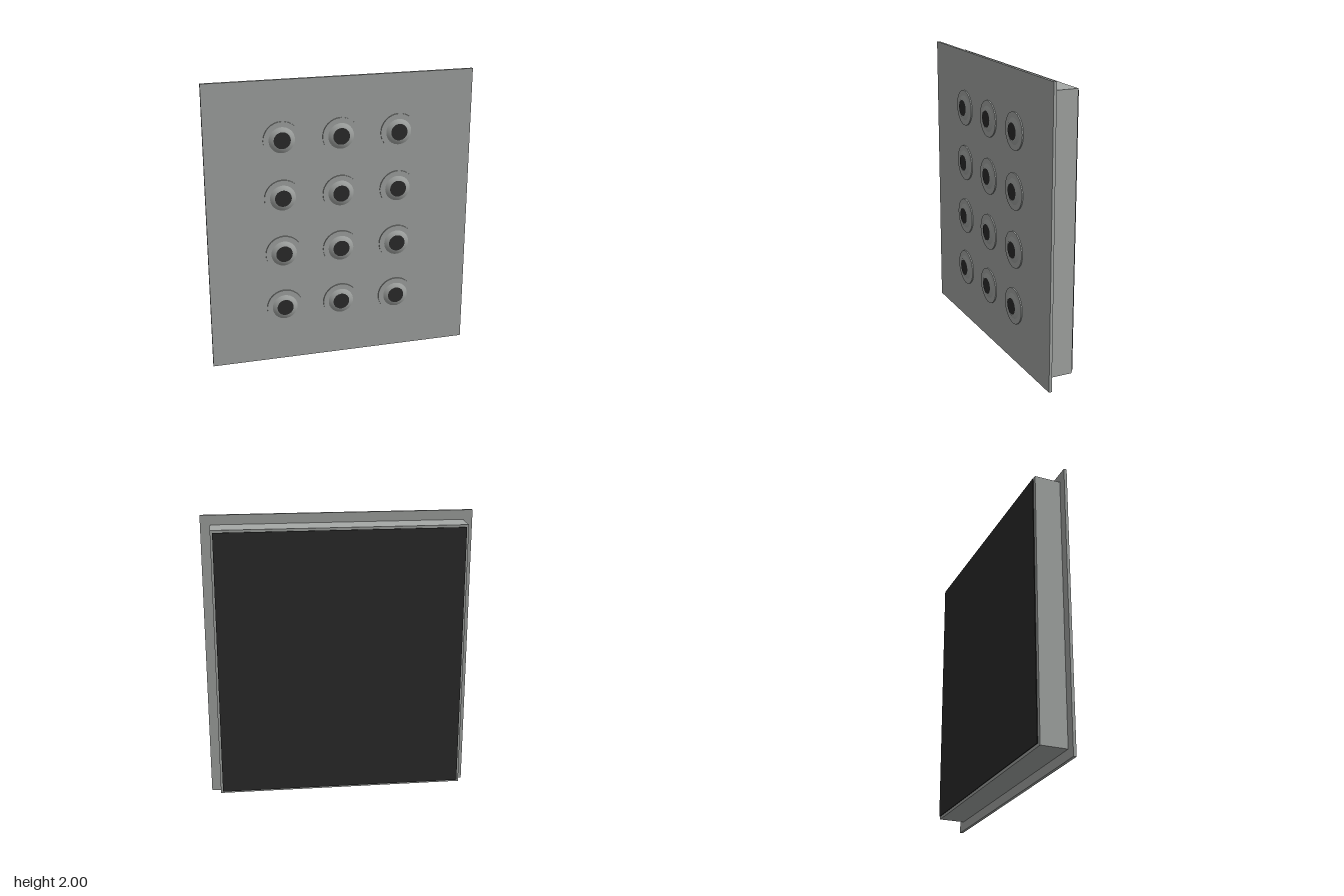
import * as THREE from 'three';

export function createModel() {
  const model = new THREE.Group();
  model.name = 'nozzlePanel';

  const grey = new THREE.MeshStandardMaterial({ color: 0xa6a9a7 });
  grey.name = 'brushed grey';
  const black = new THREE.MeshStandardMaterial({ color: 0x2d2d2d });
  black.name = 'charcoal black';

  const addBox = (name, w, h, z0, z1, material) => {
    const mesh = new THREE.Mesh(new THREE.BoxGeometry(w, h, z1 - z0), material);
    mesh.name = name;
    mesh.position.set(0, 1, (z0 + z1) / 2);
    model.add(mesh);
  };

  // Face plate, housing behind it and the thin rear cover
  addBox('facePlate', 1.83, 2, 0.075, 0.095, grey);
  addBox('housing', 1.7, 1.87, -0.105, 0.075, grey);
  addBox('rearCover', 1.67, 1.84, -0.117, -0.112, black);

  // Turned parts of one nozzle; the lathe axis is laid along +z
  const lathe = (points) =>
    new THREE.LatheGeometry(points.map(([r, z]) => new THREE.Vector2(r, z)), 32).rotateX(Math.PI / 2);
  const rimSide = lathe([[0.125, 0], [0.125, 0.008]]);
  const rimFace = lathe([[0.125, 0.008], [0.084, 0.008]]);
  const bezel = lathe([[0.088, 0.008], [0.076, 0.014], [0.064, 0.019], [0.056, 0.021]]);
  const opening = new THREE.CircleGeometry(0.057, 32).translate(0, 0, 0.0212);

  // Three columns by four rows of nozzles
  for (const x of [-0.4, 0, 0.4]) {
    for (const y of [0.4, 0.8, 1.2, 1.6]) {
      const nozzle = new THREE.Group();
      nozzle.name = 'nozzle';
      nozzle.position.set(x, y, 0.095);
      const parts = [
        ['rimSide', rimSide, grey],
        ['rimFace', rimFace, grey],
        ['bezel', bezel, grey],
        ['opening', opening, black],
      ];
      for (const [name, geometry, material] of parts) {
        const mesh = new THREE.Mesh(geometry, material);
        mesh.name = name;
        nozzle.add(mesh);
      }
      model.add(nozzle);
    }
  }
  return model;
}
